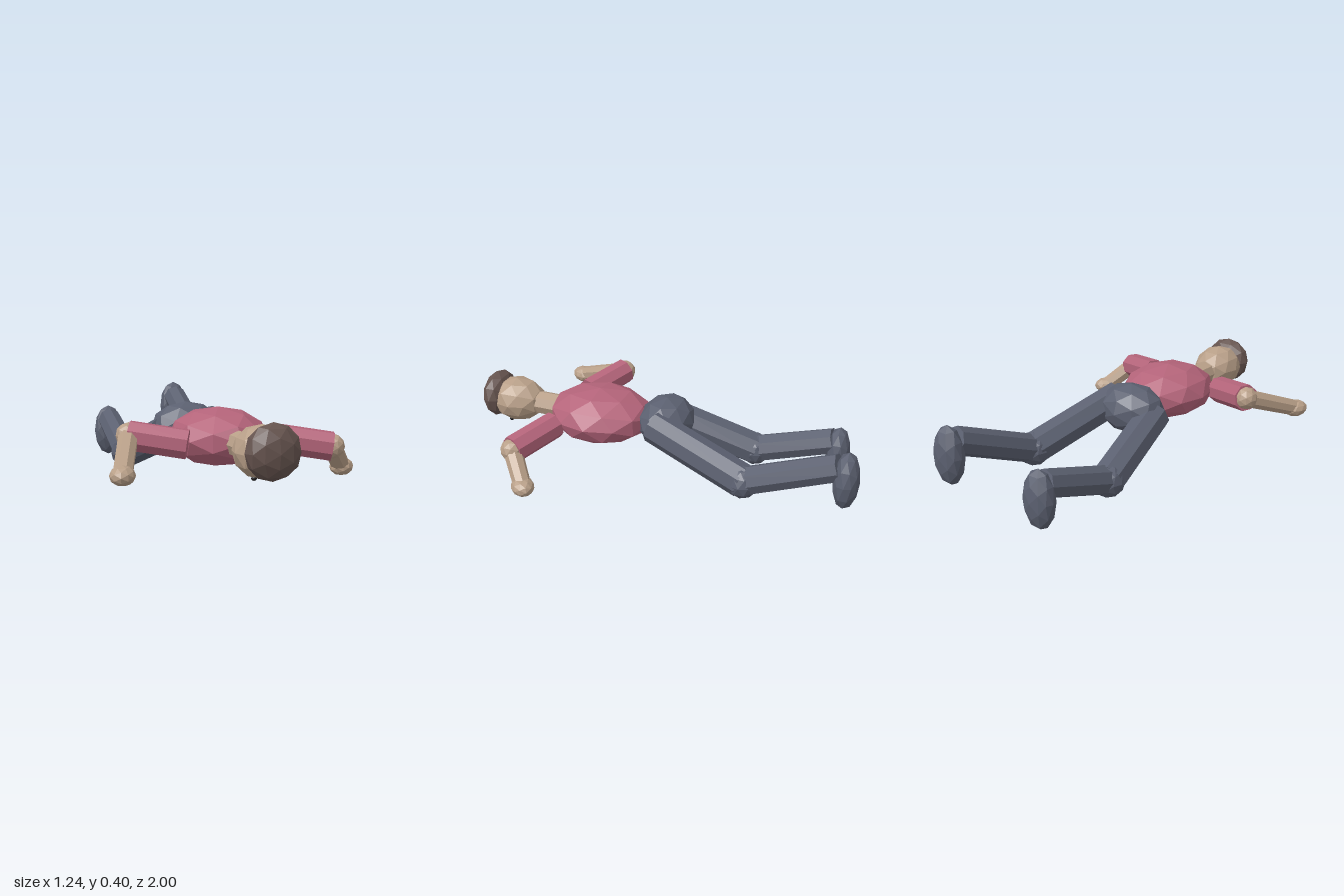
import * as THREE from 'three';

const mat = (name, color) => {
  const m = new THREE.MeshStandardMaterial({ color, flatShading: true });
  m.name = name;
  return m;
};
const V = (a) => new THREE.Vector3(...a);
const UP = new THREE.Vector3(0, 1, 0);

export function createModel() {
  const group = new THREE.Group();
  const skin = mat('skin', 0xb89f88);
  const shirt = mat('shirt red', 0xb4647a);
  const cloth = mat('trouser grey', 0x5b6070);
  const hair = mat('hair brown', 0x66544f);
  const dark = mat('eye black', 0x1c1a1c);

  const add = (name, geo, material) => {
    const mesh = new THREE.Mesh(geo, material);
    mesh.name = name;
    group.add(mesh);
    return mesh;
  };
  // Faceted ellipsoid with given half-sizes
  const blob = (name, material, pos, radii) => {
    const mesh = add(name, new THREE.IcosahedronGeometry(1, 1), material);
    mesh.scale.set(...radii);
    mesh.position.set(...pos);
    return mesh;
  };
  // Eight-sided limb between two points
  const limb = (name, material, from, to, r0, r1) => {
    const a = V(from), b = V(to), d = b.clone().sub(a);
    const mesh = add(name, new THREE.CylinderGeometry(r1, r0, d.length(), 8), material);
    mesh.position.copy(a).add(b).multiplyScalar(0.5);
    mesh.quaternion.setFromUnitVectors(UP, d.normalize());
    return mesh;
  };

  // Body, lying face down with the head towards the front
  blob('torso', shirt, [0, 0.268, 0.345], [0.225, 0.137, 0.27]);
  blob('pelvis', cloth, [-0.033, 0.27, 0], [0.178, 0.125, 0.138]);
  limb('neck', skin, [0, 0.265, 0.56], [0, 0.268, 0.74], 0.06, 0.06);

  // Head, hair cap and downward facing eyes
  blob('head', skin, [0, 0.27, 0.82], [0.12, 0.115, 0.15]);
  blob('hair', hair, [0, 0.285, 0.927], [0.125, 0.121, 0.073]);
  for (const s of [-1, 1]) blob('eye', dark, [s * 0.045, 0.166, 0.845], [0.012, 0.01, 0.012]);

  // Arms, each in its own pose
  const arms = [
    { side: 'right', shoulder: [-0.21, 0.265, 0.51], elbow: [-0.445, 0.302, 0.4], hand: [-0.56, 0.187, 0.705] },
    { side: 'left', shoulder: [0.21, 0.272, 0.505], elbow: [0.448, 0.235, 0.61], hand: [0.56, 0.118, 0.505] },
  ];
  for (const { side, shoulder, elbow, hand } of arms) {
    limb(side + 'UpperArm', shirt, shoulder, elbow, 0.068, 0.068);
    blob(side + 'Elbow', skin, elbow, [0.058, 0.058, 0.058]);
    limb(side + 'Forearm', skin, elbow, hand, 0.046, 0.042);
    const palm = blob(side + 'Hand', skin, hand, [0.055, 0.043, 0.068]);
    palm.rotation.y = Math.atan2(hand[0] - elbow[0], hand[2] - elbow[2]);
  }

  // Legs, bent at the knee with the toes hanging down
  const legs = [
    { side: 'right', hip: [-0.15, 0.25, 0.03], knee: [-0.225, 0.087, -0.41], ankle: [-0.21, 0.215, -0.81], foot: [-0.21, 0.15, -0.833] },
    { side: 'left', hip: [0.085, 0.29, 0.03], knee: [0.195, 0.143, -0.46], ankle: [0.224, 0.325, -0.905], foot: [0.226, 0.265, -0.938] },
  ];
  for (const { side, hip, knee, ankle, foot } of legs) {
    limb(side + 'Thigh', cloth, hip, knee, 0.083, 0.083);
    blob(side + 'Knee', cloth, knee, [0.083, 0.083, 0.083]);
    limb(side + 'Shin', cloth, knee, ankle, 0.07, 0.065);
    blob(side + 'Foot', cloth, foot, [0.081, 0.142, 0.061]);
  }
  return group;
}
